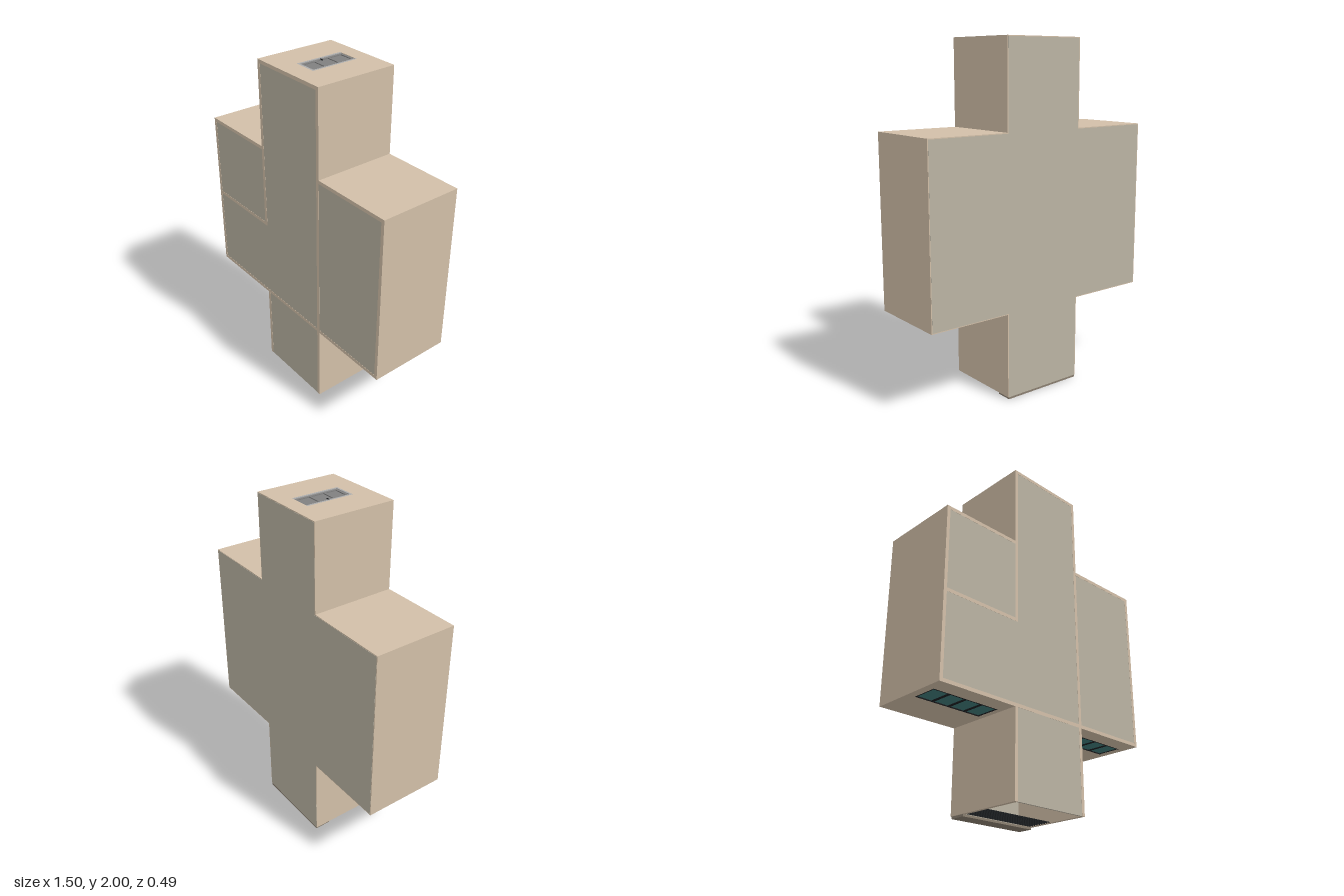
import * as THREE from 'three';

const D = 0.49, T = 0.02, BASE = 0.012; // wall depth along z, wall thickness, lower wall end
const mat = (color) => new THREE.MeshStandardMaterial({ color });
const TAN = mat(0xd2bfa8), PANEL = mat(0xbab3a3), DARK = mat(0x1c1f22), TEAL = mat(0x3f7a78),
  DOOR = mat(0x808080), FRAME = mat(0xacacac), SILL = mat(0x8a7f70);

export function createModel() {
  const model = new THREE.Group();

  // box given by its limits on each axis
  const box = (name, m, x0, x1, y0, y1, z0, z1, parent = model) => {
    const mesh = new THREE.Mesh(new THREE.BoxGeometry(x1 - x0, y1 - y0, z1 - z0), m);
    mesh.position.set((x0 + x1) / 2, (y0 + y1) / 2, (z0 + z1) / 2);
    mesh.name = name;
    parent.add(mesh);
    return mesh;
  };
  // wall across x with a rectangular hole [x0, x1, z0, z1]; its upper face lies at yTop
  const holedWall = (name, x0, x1, yTop, [a, b, c, d]) => {
    const rect = (S, l, r, n, f) => {
      const s = new S();
      s.moveTo(l, n); s.lineTo(r, n); s.lineTo(r, f); s.lineTo(l, f); s.closePath();
      return s;
    };
    const shape = rect(THREE.Shape, x0, x1, -D / 2, D / 2);
    shape.holes.push(rect(THREE.Path, a, b, c, d));
    const geo = new THREE.ExtrudeGeometry(shape, { depth: T, bevelEnabled: false });
    geo.rotateX(Math.PI / 2);
    const mesh = new THREE.Mesh(geo, TAN);
    mesh.name = name;
    mesh.position.y = yTop;
    model.add(mesh);
  };
  const wall = (name, x0, x1, y0, y1) => box(name, TAN, x0, x1, y0, y1, -D / 2, D / 2);

  // cross-shaped shell and partitions
  for (const s of [-1, 1]) {
    const side = (name, x, y0, y1) => wall(name, Math.min(s * x, s * (x - T)), Math.max(s * x, s * (x - T)), y0, y1);
    side('outerWall', 0.75, 0.5, 1.5);
    side('lowerStemWall', 0.255, BASE, 0.5);
    side('upperStemWall', 0.255, s > 0 ? 0.52 : 1, 2);
    wall('wingTopWall', s > 0 ? 0.255 : -0.73, s > 0 ? 0.73 : -0.255, 1.5 - T, 1.5);
    holedWall('wingWindowWall', s > 0 ? 0.255 : -0.73, s > 0 ? 0.73 : -0.255, 0.5 + T,
      [s > 0 ? 0.285 : -0.705, s > 0 ? 0.705 : -0.285, -0.005, 0.145]);

    // four-pane window in each wing
    const win = new THREE.Group();
    win.name = 'wingWindow';
    model.add(win);
    const x0 = s > 0 ? 0.285 : -0.705, step = 0.42 / 4;
    for (let i = 0; i < 4; i++) {
      box('windowPane', TEAL, x0 + i * step + 0.008, x0 + (i + 1) * step - 0.008, 0.504, 0.512, 0.003, 0.137, win);
    }
    for (let i = 0; i <= 4; i++) {
      const x = x0 + i * step;
      box('windowMullion', DARK, x - 0.008, x + 0.008, 0.501, 0.515, -0.005, 0.145, win);
    }
    for (const z of [-0.001, 0.141]) box('windowRail', DARK, x0, x0 + 0.42, 0.5, 0.515, z - 0.004, z + 0.004, win);
  }
  wall('stemPartition', -0.255, 0.255, 0.5, 0.5 + T);
  wall('wingPartition', -0.73, -0.235, 1 - T / 2, 1 + T / 2);

  // front and back panels in the outline of the cross
  const outline = (t) => {
    const a = 0.25 - t, b = 0.745 - t, lo = 0.505 + t, hi = 1.495 - t;
    return new THREE.Shape([[-a, BASE], [a, BASE], [a, lo], [b, lo], [b, hi], [a, hi], [a, 1.995 - t],
      [-a, 1.995 - t], [-a, hi], [-b, hi], [-b, lo], [-a, lo]].map(([x, y]) => new THREE.Vector2(x, y)));
  };
  [['frontPanel', D / 2 - 0.011, 0.01], ['backPanel', -D / 2 - 0.001, 0]].forEach(([name, z, inset]) => {
    const panel = new THREE.Mesh(
      new THREE.ExtrudeGeometry(outline(inset), { depth: 0.01, bevelEnabled: false }), PANEL);
    panel.position.z = z;
    panel.name = name;
    model.add(panel);
  });

  // stem top with its door, frame and handle
  holedWall('stemTopWall', -0.235, 0.235, 2, [-0.068, 0.068, -0.155, 0.13]);
  const door = new THREE.Group();
  door.name = 'door';
  model.add(door);
  box('doorLeaf', DOOR, -0.056, 0.056, 1.982, 1.992, -0.155, 0.118, door);
  for (const s of [-1, 1]) {
    box('doorJamb', FRAME, s * 0.062 - 0.006, s * 0.062 + 0.006, 1.98, 2, -0.155, 0.13, door);
    box('doorStile', DOOR, s * 0.049 - 0.007, s * 0.049 + 0.007, 1.985, 1.997, -0.155, 0.118, door);
  }
  box('doorHead', FRAME, -0.056, 0.056, 1.98, 2, 0.118, 0.13, door);
  for (const z of [-0.148, -0.06, 0.03, 0.111]) {
    box('doorRail', DOOR, -0.042, 0.042, 1.985, 1.997, z - 0.007, z + 0.007, door);
  }
  box('doorHandle', DARK, -0.052, -0.034, 1.995, 2, -0.013, -0.008, door);

  // open lower end: sill and slatted grille
  box('openingSill', SILL, -0.25, 0.25, 0, BASE, -D / 2, -0.15);
  const grille = new THREE.Group();
  grille.name = 'grille';
  model.add(grille);
  for (let i = 0; i < 9; i++) {
    const z = -0.142 + i * 0.0185;
    box('grilleSlat', DARK, -0.235, 0.235, 0.013, 0.018, z - 0.0018, z + 0.0018, grille);
  }
  box('grilleHandle', DARK, -0.02, 0.02, 0.006, 0.014, 0.012, 0.018, grille);
  return model;
}
